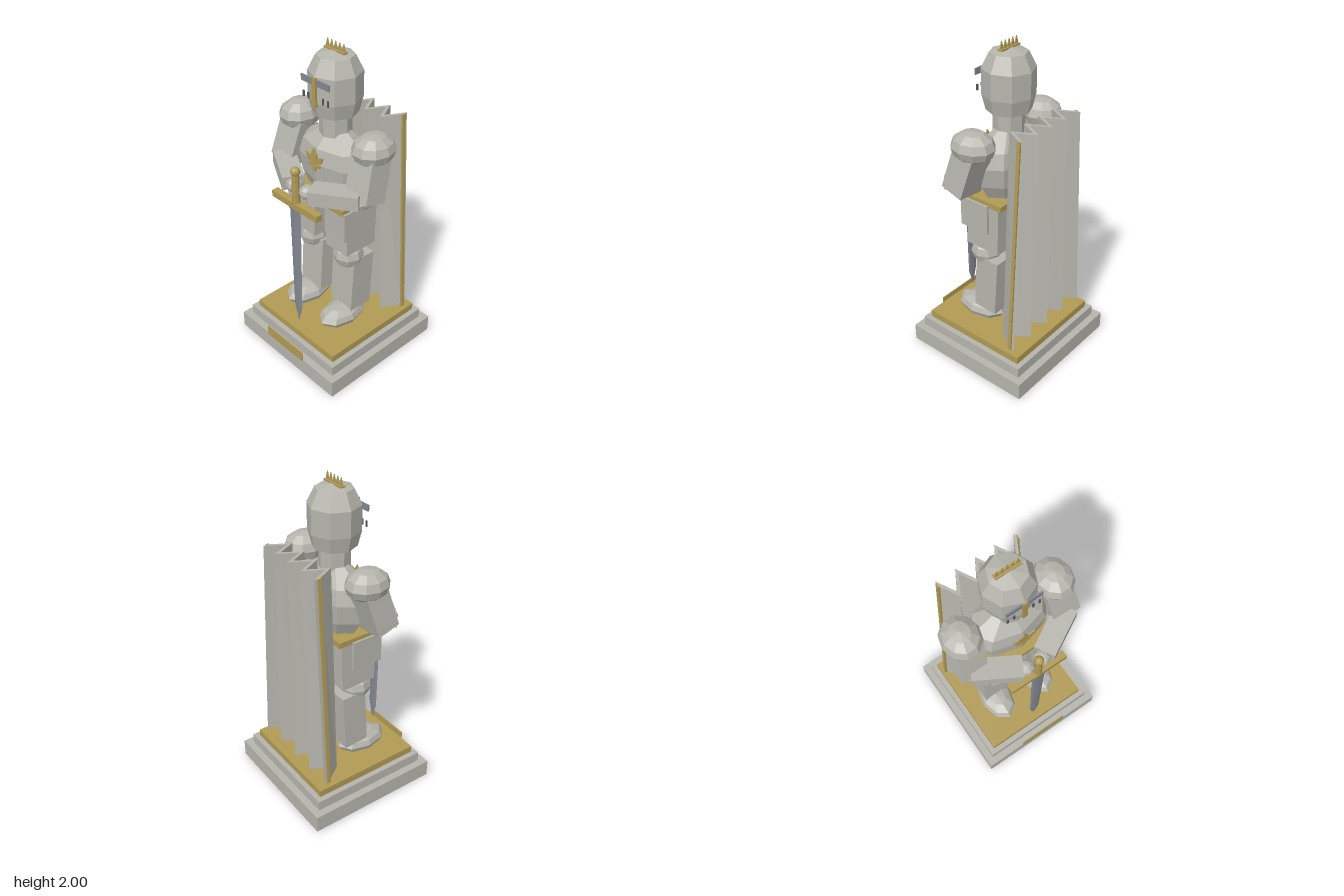
import * as THREE from 'three';

const mat = (name, color, extra = {}) => {
  const m = new THREE.MeshStandardMaterial({ color, flatShading: true, ...extra });
  m.name = name;
  return m;
};

export function createModel() {
  const root = new THREE.Group();
  root.name = 'knightStatue';
  const stone = mat('stoneGrey', 0xb5b4ac);
  const gold = mat('oldGold', 0xb09a54);
  const goldLeaf = mat('oldGold', 0xb09a54, { side: THREE.DoubleSide });
  const steel = mat('bladeSteel', 0x838791);
  const dark = mat('slotDark', 0x55565c);

  const add = (name, geo, m, x = 0, y = 0, z = 0) => {
    const mesh = new THREE.Mesh(geo, m);
    mesh.name = name;
    mesh.position.set(x, y, z);
    root.add(mesh);
    return mesh;
  };
  // box given by its limits
  const block = (name, m, x0, x1, y0, y1, z0, z1) =>
    add(name, new THREE.BoxGeometry(x1 - x0, y1 - y0, z1 - z0), m, (x0 + x1) / 2, (y0 + y1) / 2, (z0 + z1) / 2);
  // faceted ellipsoid
  const ball = (name, m, pos, rx, ry, rz, w = 8, h = 6) =>
    add(name, new THREE.SphereGeometry(1, w, h).scale(rx, ry, rz), m, ...pos);
  // box running from a to b
  const beam = (name, m, a, b, w, h, up) => {
    const p = new THREE.Vector3(...a), q = new THREE.Vector3(...b);
    const mesh = add(name, new THREE.BoxGeometry(w, h, p.distanceTo(q)), m);
    mesh.position.copy(p).lerp(q, 0.5);
    mesh.up.set(...up);
    mesh.lookAt(q);
    return mesh;
  };
  const lathe = (name, m, pts, x = 0, y = 0, z = 0) =>
    add(name, new THREE.LatheGeometry(pts.map(p => new THREE.Vector2(...p)), 8), m, x, y, z);

  // stepped plinth with plaque
  block('plinthBase', stone, -0.43, 0.43, 0, 0.11, -0.43, 0.43);
  block('plinthStep', stone, -0.385, 0.385, 0.11, 0.175, -0.385, 0.385);
  block('plinthTop', gold, -0.352, 0.352, 0.175, 0.22, -0.352, 0.352);
  block('plaque', gold, -0.165, 0.165, 0.1, 0.17, 0.428, 0.434);

  // torso, belt and neck
  lathe('torso', stone, [[0, 1.06], [0.17, 1.08], [0.24, 1.2], [0.26, 1.32], [0.23, 1.41], [0.1, 1.495], [0, 1.5]])
    .scale.z = 0.62;
  block('hips', stone, -0.2, 0.2, 1.04, 1.09, -0.11, 0.1);
  block('belt', gold, -0.232, 0.232, 1.08, 1.115, -0.13, 0.165);
  add('neck', new THREE.CylinderGeometry(0.093, 0.093, 0.14, 8), stone, 0, 1.54, 0);

  // helmet
  lathe('helmet', stone, [[0, 1.6], [0.13, 1.6], [0.152, 1.69], [0.152, 1.84], [0.107, 1.93], [0, 1.955]]);
  block('visorSlit', steel, -0.11, 0.11, 1.792, 1.828, 0.142, 0.151);
  block('nasalBar', gold, -0.014, 0.014, 1.67, 1.84, 0.14, 0.16);
  for (const x of [-0.097, -0.058, 0.058, 0.097])
    block('breathSlot', dark, x - 0.005, x + 0.005, 1.7, 1.735, 0.141, 0.149);

  // crest of small leaves on a flat band
  block('crestBand', gold, -0.077, 0.077, 1.946, 1.956, -0.015, 0.015);
  for (let i = -2; i <= 2; i++) {
    const leaf = new THREE.Shape([[-0.014, 0], [0.014, 0], [0, 0.045]].map(p => new THREE.Vector2(...p)));
    add('crestLeaf', new THREE.ExtrudeGeometry(leaf, { depth: 0.006, bevelEnabled: false }), goldLeaf, i * 0.031, 1.955, -0.003);
  }

  // three-petal chest emblem
  const petal = new THREE.Shape();
  petal.moveTo(-0.01, 0);
  petal.lineTo(-0.022, 0.06);
  petal.lineTo(0, 0.1);
  petal.lineTo(0.022, 0.06);
  petal.lineTo(0.01, 0);
  for (const a of [-0.9, 0, 0.9]) {
    const p = add('emblemPetal', new THREE.ExtrudeGeometry(petal, { depth: 0.009, bevelEnabled: false }), goldLeaf, 0, 1.325, 0.157);
    p.rotation.z = a;
    if (a) p.scale.setScalar(0.9);
  }
  block('emblemBar', gold, -0.045, 0.045, 1.31, 1.328, 0.155, 0.167);
  block('emblemStem', gold, -0.011, 0.011, 1.28, 1.33, 0.155, 0.166);

  // legs and arms, mirrored
  for (const s of [1, -1]) {
    ball('foot', stone, [s * 0.155, 0.295, 0.09], 0.105, 0.065, 0.17);
    beam('shin', stone, [s * 0.138, 0.335, 0.005], [s * 0.138, 0.71, -0.018], 0.18, 0.16, [0, 0, 1]);
    ball('knee', stone, [s * 0.155, 0.725, 0.042], 0.095, 0.085, 0.095);
    beam('thigh', stone, [s * 0.14, 0.78, 0.012], [s * 0.14, 1.085, 0.005], 0.18, 0.23, [0, 0, 1]);
    block('tasset', stone, s * 0.162 - 0.083, s * 0.162 + 0.083, 0.905, 1.09, -0.04, 0.16);

    ball('shoulder', stone, [s * 0.3, 1.48, 0.002], 0.115, 0.092, 0.134, 10);
    beam('upperArm', stone, [s * 0.292, 1.45, 0.01], [s * 0.318, 1.2, 0.082], 0.17, 0.145, [0, 0, 1]);
    ball('elbow', stone, [s * 0.32, 1.205, 0.095], 0.062, 0.05, 0.075);
    beam('forearm', stone, [s * 0.33, 1.225, 0.115], [s * 0.075, 1.205, 0.255], 0.13, 0.085, [0, 1, 0]);
    ball('hand', stone, [s * 0.055, 1.205, 0.262], 0.052, 0.044, 0.052);
  }

  // sword, point down
  ball('pommel', gold, [0, 1.33, 0.302], 0.029, 0.029, 0.029);
  add('grip', new THREE.CylinderGeometry(0.021, 0.024, 0.2, 8), gold, 0, 1.22, 0.302);
  block('crossguard', gold, -0.19, 0.19, 1.092, 1.132, 0.278, 0.322);
  lathe('blade', steel, [[0, 0.25], [0.034, 0.37], [0.046, 1.1], [0, 1.1]], 0, 0, 0.31).scale.z = 0.22;

  // pleated cape: zigzag outline lofted from the wide hem to the narrow top
  const outline = [];
  for (let i = 0; i <= 8; i++) outline.push([i / 4 - 1, i % 2 ? -0.155 : -0.27]);
  for (let i = 8; i >= 0; i--) outline.push([i / 4 - 1, i % 2 ? -0.19 : -0.305]);
  const shape = new THREE.Shape(outline.map(([x, z]) => new THREE.Vector2(x, -z)));
  const cape = new THREE.ExtrudeGeometry(shape, { depth: 1, bevelEnabled: false });
  cape.rotateX(-Math.PI / 2);
  const cp = cape.attributes.position;
  for (let i = 0; i < cp.count; i++) {
    const t = cp.getY(i);
    cp.setXYZ(i, cp.getX(i) * (0.325 - 0.075 * t), 0.235 + 1.34 * t, cp.getZ(i));
  }
  cape.computeVertexNormals();
  add('cape', cape, stone);
  for (const s of [1, -1])
    beam('capeTrim', gold, [s * 0.328, 0.235, -0.275], [s * 0.252, 1.575, -0.275], 0.016, 0.022, [0, 0, 1]);

  return root;
}
